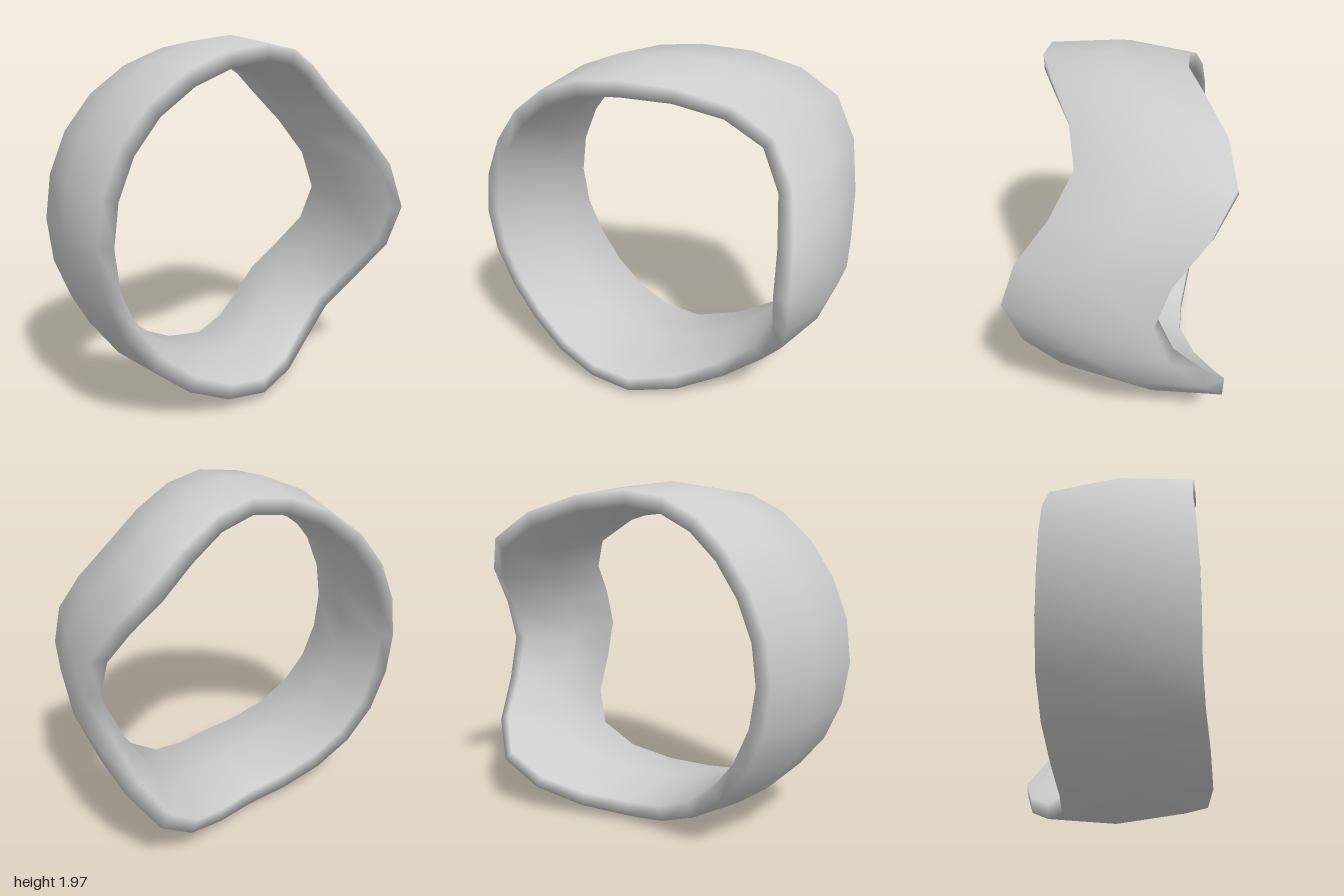
import * as THREE from 'three';

// Depth offset of the band every 15 degrees, from its left side (+x) over the top to the right side
const SWEEP = [0.13, 0.05, -0.11, -0.2, -0.12, 0.03, 0.16, 0.195, 0.195, 0.185, 0.185, 0.195, 0.2];

// Band cross-section: [depth, radius], outer face front to back, then inner face back to front
const SECTION = [
  [0.39, 0.955], [0, 1], [-0.39, 0.96],
  [-0.39, 0.87], [0, 0.82], [0.39, 0.87],
];

const SIDES = 24;
const Y_SCALE = 0.985;

// Closed ring through the cross-sections; the lower half mirrors the upper one
function bandGeometry() {
  const positions = [];
  const index = [];
  const n = SECTION.length;
  for (let i = 0; i < SIDES; i++) {
    const angle = (i / SIDES) * Math.PI * 2;
    const shift = SWEEP[Math.min(i, SIDES - i)];
    for (const [depth, radius] of SECTION) {
      positions.push(
        radius * Math.cos(angle),
        Y_SCALE * (1 + radius * Math.sin(angle)),
        depth + shift,
      );
    }
    const next = (i + 1) % SIDES;
    for (let k = 0; k < n; k++) {
      const k2 = (k + 1) % n;
      const a = i * n + k, b = i * n + k2;
      const c = next * n + k2, d = next * n + k;
      index.push(a, b, d, b, c, d);
    }
  }
  const geometry = new THREE.BufferGeometry();
  geometry.setAttribute('position', new THREE.Float32BufferAttribute(positions, 3));
  geometry.setIndex(index);
  geometry.computeVertexNormals();
  return geometry;
}

export function createModel() {
  const model = new THREE.Group();
  model.name = 'waveRing';
  const band = new THREE.Mesh(
    bandGeometry(),
    new THREE.MeshStandardMaterial({ color: 0xcccccc }),
  );
  band.name = 'ringBand';
  model.add(band);
  return model;
}
